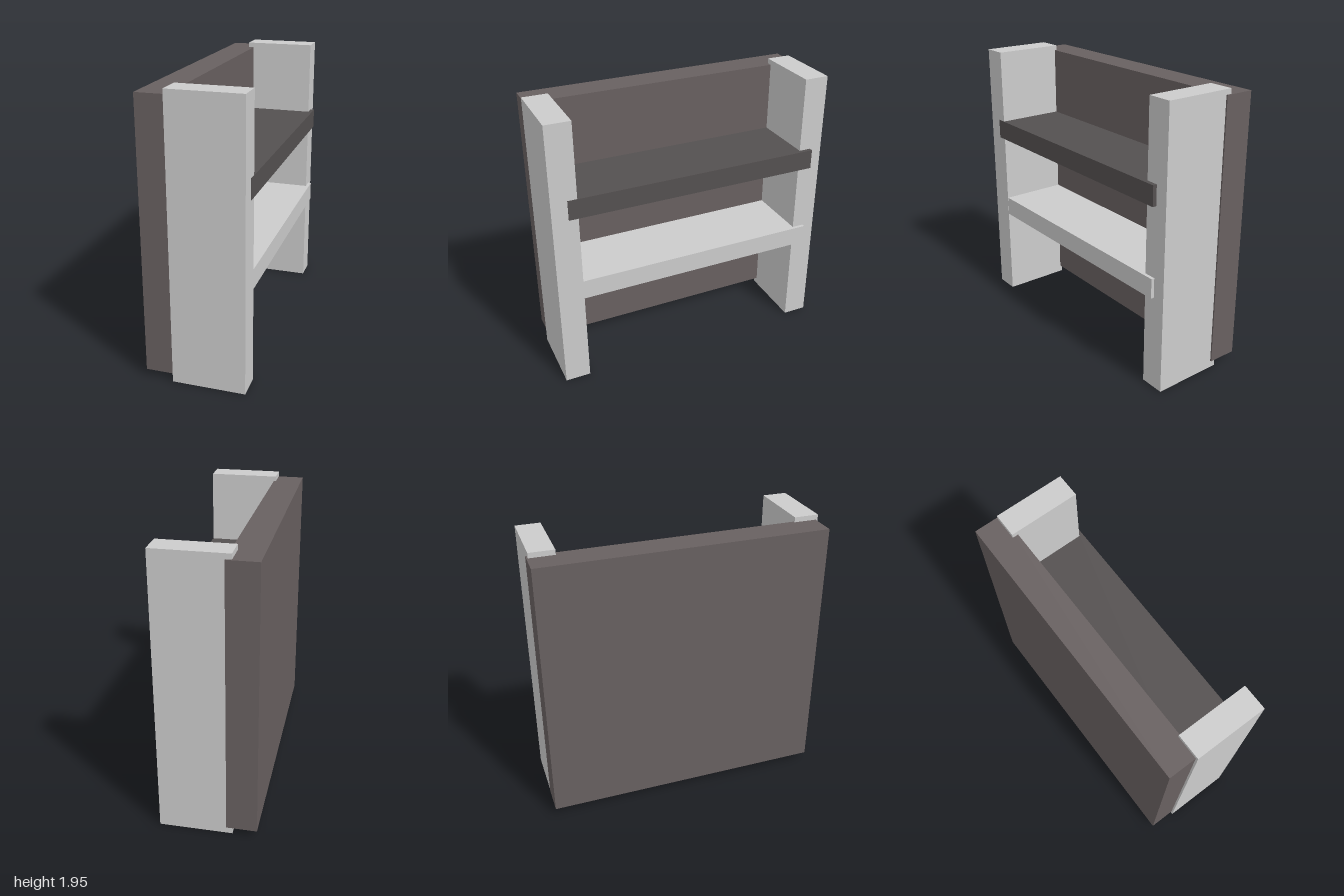
import * as THREE from 'three';

export function createModel() {
  const group = new THREE.Group();
  const grey = new THREE.MeshStandardMaterial({ color: 0xcccccc });
  const brown = new THREE.MeshStandardMaterial({ color: 0x686060 });
  const dark = new THREE.MeshStandardMaterial({ color: 0x545050 });

  // Box given by its extents along each axis
  function board(name, material, [x0, x1], [y0, y1], [z0, z1]) {
    const mesh = new THREE.Mesh(new THREE.BoxGeometry(x1 - x0, y1 - y0, z1 - z0), material);
    mesh.position.set((x0 + x1) / 2, (y0 + y1) / 2, (z0 + z1) / 2);
    mesh.name = name;
    group.add(mesh);
  }

  // Thick back panel; the shelves open towards +x
  board('backPanel', brown, [-0.345, -0.14], [0.05, 1.91], [-1, 0.985]);

  // Upright sides, slightly offset from each other
  board('frontSidePanel', grey, [-0.155, 0.34], [0, 1.945], [0.825, 1]);
  board('rearSidePanel', grey, [-0.18, 0.315], [0, 1.945], [-0.99, -0.818]);

  // Shelves let into the sides
  board('lowerShelf', grey, [-0.15, 0.338], [0.66, 0.798], [-0.902, 0.89]);
  board('upperShelf', dark, [-0.15, 0.343], [1.283, 1.422], [-0.902, 0.89]);

  return group;
}
